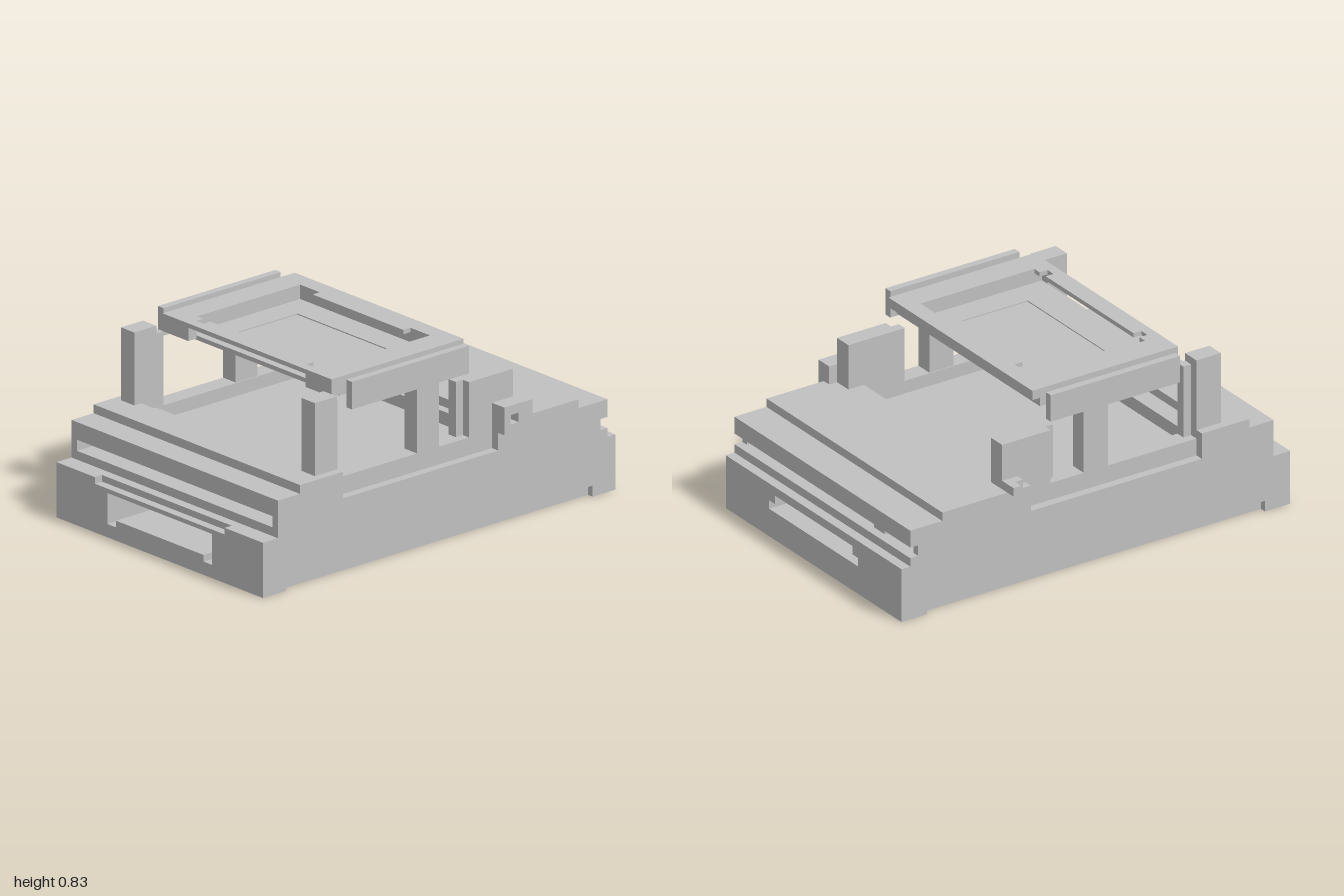
import * as THREE from 'three';

const grey = new THREE.MeshStandardMaterial({ color: 0xc0c0c0 });
grey.name = 'plain grey';

export function createModel() {
  const root = new THREE.Group();
  let parent = root;

  const group = (name) => {
    parent = new THREE.Group();
    parent.name = name;
    root.add(parent);
  };
  const add = (name, geo) => {
    const m = new THREE.Mesh(geo, grey);
    m.name = name;
    parent.add(m);
  };
  // Box given by its limits
  const box = (name, x0, x1, y0, y1, z0, z1) => {
    const g = new THREE.BoxGeometry(x1 - x0, y1 - y0, z1 - z0);
    g.translate((x0 + x1) / 2, (y0 + y1) / 2, (z0 + z1) / 2);
    add(name, g);
  };
  // The same box at the front and, mirrored, at the back
  const pair = (name, x0, x1, y0, y1, z0, z1) => {
    box(name, x0, x1, y0, y1, z0, z1);
    box(name, x0, x1, y0, y1, -z1, -z0);
  };
  const shapeOf = (pts, holes) => {
    const s = new THREE.Shape(pts.map(([a, b]) => new THREE.Vector2(a, b)));
    for (const h of holes) s.holes.push(new THREE.Path(h.map(([a, b]) => new THREE.Vector2(a, b))));
    return s;
  };
  const rect = (a0, a1, b0, b1) => [[a0, b0], [a1, b0], [a1, b1], [a0, b1]];
  // Horizontal slab from an x-z outline
  const slab = (name, pts, y0, y1, holes = []) => {
    const g = new THREE.ExtrudeGeometry(shapeOf(pts, holes), { depth: y1 - y0, bevelEnabled: false });
    g.rotateX(Math.PI / 2).translate(0, y1, 0);
    add(name, g);
  };
  // Upright slab across the width, from a (-z)-y outline
  const slice = (name, pts, x0, x1, holes = []) => {
    const g = new THREE.ExtrudeGeometry(shapeOf(pts, holes), { depth: x1 - x0, bevelEnabled: false });
    g.rotateY(Math.PI / 2).translate(x0, 0, 0);
    add(name, g);
  };

  // Base with a slot in each end and relieved lower edges
  group('base');
  box('bottomPlate', -1, 1, 0, 0.05, -0.63, 0.63);
  for (const x of [-1, 0.87]) pair('cornerFoot', x, x + 0.13, 0, 0.05, 0.63, 0.66);
  const wall = rect(-0.66, 0.66, 0.05, 0.25);
  box('baseCore', -0.7, 0.7, 0.05, 0.25, -0.66, 0.66);
  slice('slottedLeftEnd', wall, 0.7, 1, [[
    [-0.335, 0.13], [0.335, 0.13], [0.335, 0.17], [0.29, 0.17],
    [0.29, 0.21], [-0.29, 0.21], [-0.29, 0.17], [-0.335, 0.17]]]);
  const rightSlot = [
    [-0.335, 0.06], [-0.28, 0.06], [-0.28, 0.09], [0.28, 0.09],
    [0.28, 0.06], [0.335, 0.06], [0.335, 0.2], [-0.335, 0.2]];
  slice('slottedRightEnd', wall, -0.96, -0.7, [rightSlot]);
  slice('notchedRightFace', [
    [-0.66, 0.05], [0.66, 0.05], [0.66, 0.25], [0.415, 0.25],
    [0.415, 0.22], [-0.415, 0.22], [-0.415, 0.25], [-0.66, 0.25]], -1, -0.96, [rightSlot]);

  // Open layer between base and deck
  group('cavity');
  box('cavityFloor', -0.915, 0.955, 0.25, 0.29, -0.66, 0.66);
  pair('cavityWall', -0.915, 0.915, 0.29, 0.34, 0.625, 0.66);
  box('cavityPillar', 0.8, 0.915, 0.29, 0.34, -0.41, -0.33);

  // Deck with a sunken pocket and side notches
  group('deck');
  const zs = 0.66, zn = 0.62, xa = -0.545, xb = 0.335;
  slab('lowerDeck', [
    [-0.915, -zs], [xa, -zs], [xa, -zn], [xb, -zn], [xb, -zs], [0.955, -zs],
    [0.955, zs], [xb, zs], [xb, zn], [xa, zn], [xa, zs], [-0.915, zs]],
  0.34, 0.42, [rect(xa, xb, -0.535, 0.535)]);
  box('pocketFloor', xa, xb, 0.34, 0.36, -0.535, 0.535);
  const deckEnd = (outer, inner, pocket) => slab('upperDeck', [
    [outer, -zs], [inner, -zs], [inner, -0.535], [pocket, -0.535],
    [pocket, 0.535], [inner, 0.535], [inner, zs], [outer, zs]], 0.42, 0.46);
  deckEnd(-0.79, xa, -0.63);
  deckEnd(0.79, xb, 0.375);

  // Uprights on both sides
  group('uprights');
  pair('rearPost', -0.67, -0.545, 0.42, 0.79, 0.535, 0.62);
  pair('rearPostRib', -0.545, -0.505, 0.42, 0.755, 0.535, 0.58);
  pair('centreColumn', -0.09, 0.035, 0.42, 0.75, 0.54, 0.62);
  pair('forePost', 0.205, 0.455, 0.42, 0.67, 0.535, 0.62);
  pair('forePostRib', 0.165, 0.205, 0.42, 0.67, 0.535, 0.58);
  pair('topBar', -0.46, 0.205, 0.71, 0.835, 0.585, 0.62);
  pair('plateBracket', -0.09, 0.035, 0.75, 0.79, 0.53, 0.6);

  // Raised plate holding a shallow tray
  group('topPlate');
  slab('plateRim', rect(-0.505, 0.245, -0.54, 0.54), 0.815, 0.835, [[
    [-0.42, -0.415], [0.165, -0.415], [0.165, -0.29], [0.125, -0.29], [0.125, 0.29], [0.165, 0.29],
    [0.165, 0.415], [-0.42, 0.415], [-0.42, 0.375], [-0.46, 0.375], [-0.46, 0.33], [-0.42, 0.33],
    [-0.42, -0.33], [-0.46, -0.33], [-0.46, -0.375], [-0.42, -0.375]]]);
  box('plateLip', 0.165, 0.245, 0.79, 0.815, -0.54, 0.54);
  box('plateEdge', 0.165, 0.205, 0.75, 0.79, -0.54, 0.54);
  pair('plateSide', -0.46, 0.165, 0.75, 0.815, 0.415, 0.54);
  pair('plateCorner', -0.505, -0.46, 0.755, 0.815, 0.375, 0.54);
  slab('trayFloor', rect(-0.46, 0.165, -0.415, 0.415), 0.75, 0.77, [rect(-0.3, 0.038, -0.29, 0.29)]);
  box('trayInset', -0.3, 0.038, 0.75, 0.765, -0.29, 0.29);

  // Knob with a square socket at the front, small catch at the back
  group('controls');
  const knob = new THREE.ExtrudeGeometry(
    shapeOf(rect(0.335, 0.495, 0.42, 0.545), [rect(0.37, 0.415, 0.46, 0.503)]),
    { depth: 0.05, bevelEnabled: false });
  knob.translate(0, 0, 0.65);
  add('socketKnob', knob);
  box('knobBack', 0.335, 0.495, 0.42, 0.545, 0.62, 0.65);
  box('catchArm', 0.375, 0.455, 0.46, 0.5, -0.66, -0.62);
  box('catchTip', 0.415, 0.455, 0.46, 0.5, -0.705, -0.66);

  return root;
}
